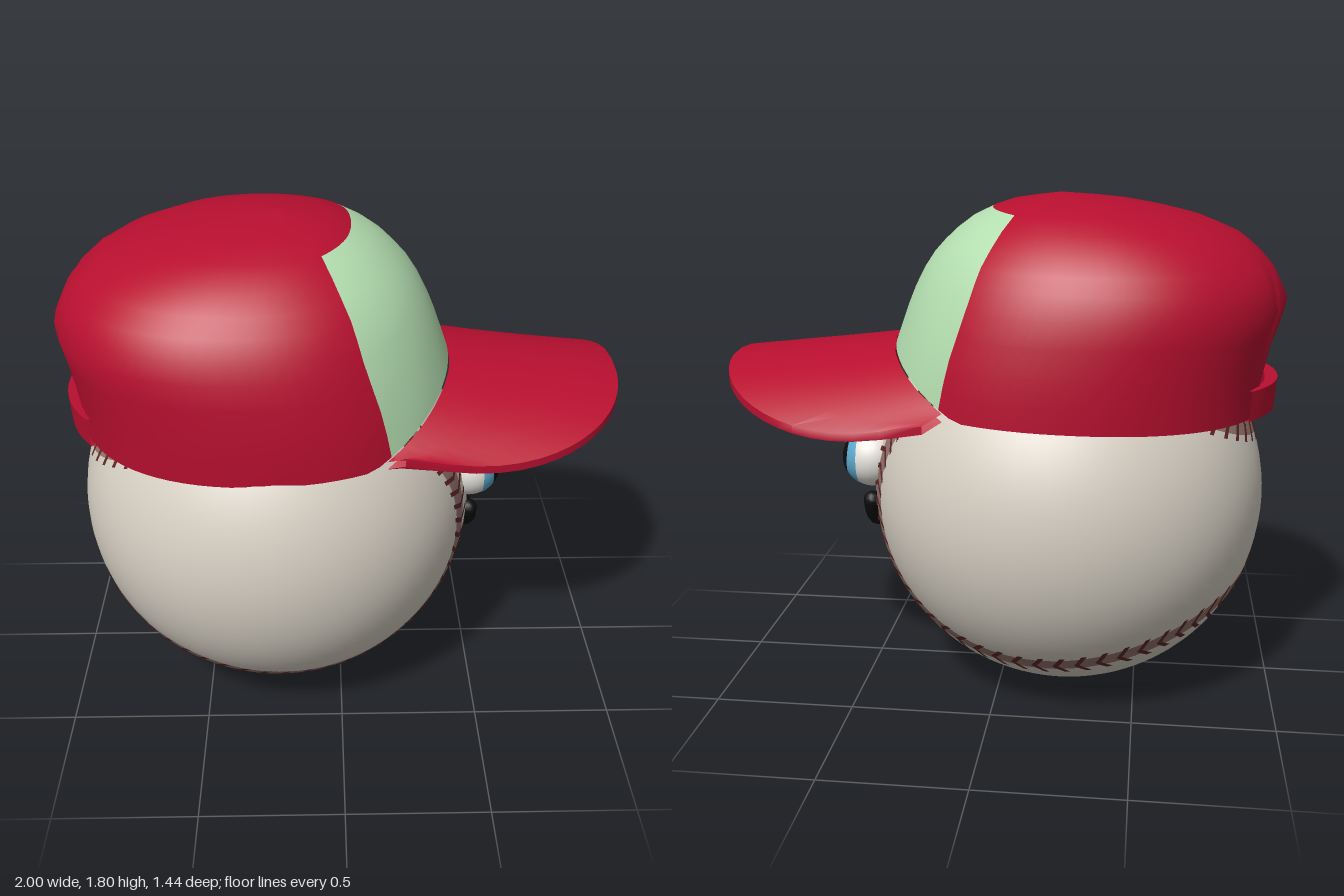
import * as THREE from 'three';
import { mergeGeometries, toCreasedNormals } from 'three/addons/utils/BufferGeometryUtils.js';

const V = (x, y, z) => new THREE.Vector3(x, y, z);
const RAD = Math.PI / 180;
const paint = (name, color, double) => {
  const m = new THREE.MeshStandardMaterial({ color });
  m.name = name;
  if (double) m.side = THREE.DoubleSide;
  return m;
};

// Surface from fn(i, j); the front faces along (i direction) x (j direction)
function grid(nI, nJ, fn, wrapJ = false, isSecond = null) {
  const pos = [], first = [], second = [], cols = wrapJ ? nJ : nJ + 1;
  for (let i = 0; i <= nI; i++)
    for (let j = 0; j < cols; j++) pos.push(...fn(i, j).toArray());
  for (let i = 0; i < nI; i++)
    for (let j = 0; j < nJ; j++) {
      const k = (j + 1) % cols;
      const a = i * cols + j, b = a + cols, c = i * cols + k, d = c + cols;
      (isSecond && isSecond(i, j) ? second : first).push(a, b, c, b, d, c);
    }
  const g = new THREE.BufferGeometry();
  g.setAttribute('position', new THREE.Float32BufferAttribute(pos, 3));
  g.setIndex([...first, ...second]);
  if (isSecond) {
    g.addGroup(0, first.length, 0);
    g.addGroup(first.length, second.length, 1);
  }
  g.computeVertexNormals();
  return g;
}

// Crown outline by height: y, front x, back x, half width
const CROWN = [
  [1.0, 0.45, -0.92, 0.63], [1.16, 0.42, -0.93, 0.637], [1.28, 0.39, -0.955, 0.637],
  [1.45, 0.33, -1.0, 0.62], [1.57, 0.27, -0.94, 0.565], [1.66, 0.19, -0.84, 0.49],
  [1.72, 0.11, -0.7, 0.4], [1.75, 0.05, -0.58, 0.33], [1.78, -0.04, -0.42, 0.19], [1.8, -0.2, -0.2, 0],
];
function crownPoint(phi, y, out = 0) {
  let k = 0;
  while (k < CROWN.length - 2 && y > CROWN[k + 1][0]) k++;
  const A = CROWN[k], B = CROWN[k + 1];
  const t = Math.min(1, (y - A[0]) / (B[0] - A[0]));
  const [, f, b, h] = A.map((v, n) => v + (B[n] - v) * t);
  const pw = (v) => Math.sign(v) * Math.abs(v) ** 0.93;
  return V((f + b) / 2 + ((f - b) / 2 + out) * pw(Math.cos(phi)), y,
    -0.015 + (h + out) * pw(Math.sin(phi)));
}
// Lower edge of the crown: raised over the brim, arched over the strap
function rimY(phi) {
  const deg = Math.abs(phi) / RAD, back = (180 - deg) / 22;
  if (deg < 60) return 1.09 + 0.19 * Math.cos(1.5 * phi);
  if (back < 1) return 1.13 + 0.27 * Math.sqrt(1 - back * back);
  return 1.075 + 0.02 * Math.cos(phi);
}

// Seam curve on the ball, with a local frame for band and stitches
const BALL = V(-0.232, 0.718, 0), R = 0.718;
function seamDir(t) {
  const a = 0.69, b = 0.31;
  return V(2 * Math.sqrt(a * b) * Math.cos(2 * t),
    a * Math.sin(t) + b * Math.sin(3 * t), a * Math.cos(t) - b * Math.cos(3 * t));
}
function seamPoint(t, along, side, lift) {
  const p = seamDir(t);
  const tan = seamDir(t + 0.001).sub(seamDir(t - 0.001)).normalize();
  const s = p.clone().cross(tan);
  return p.addScaledVector(tan, along / R).addScaledVector(s, side / R)
    .normalize().multiplyScalar(R + lift).add(BALL);
}

export function createModel() {
  const red = paint('cap red', 0xb80f2f, true);
  const green = paint('panel green', 0xb4deb0, true);
  const leather = paint('ball leather', 0xd6cfc3);
  const band = paint('seam brown', 0x93736b, true);
  const thread = paint('thread dark red', 0x5f2727, true);
  const white = paint('eye white', 0xe6e3dc);
  const blue = paint('iris blue', 0x5ba8cc);
  const black = paint('black', 0x0d0d0d);

  const model = new THREE.Group();
  const add = (name, geo, mat, parent = model) => {
    const m = new THREE.Mesh(geo, mat);
    m.name = name;
    parent.add(m);
    return m;
  };

  // Ball
  add('ball', new THREE.SphereGeometry(R, 64, 48), leather).position.copy(BALL);

  // Seam band and V stitches
  const TAU = Math.PI * 2;
  add('seamBand', grid(240, 2, (i, j) => seamPoint(i / 240 * TAU, 0, (j - 1) * 0.038, 0.002)), band);
  const strokes = [];
  for (let n = 0; n < 112; n++)
    for (const side of [-1, 1])
      strokes.push(grid(1, 2, (i, j) => {
        const reach = side > 0 ? j / 2 : 1 - j / 2;
        return seamPoint(n / 112 * TAU, (i - 0.5) * 0.02 + reach * 0.035, side * reach * 0.062, 0.006);
      }));
  add('stitches', mergeGeometries(strokes), thread);

  // Cap
  const cap = new THREE.Group();
  cap.name = 'cap';
  model.add(cap);
  const T = [0, 0.12, 0.25, 0.38, 0.5, 0.6, 0.68, 0.76, 0.84, 0.91, 0.955, 0.98, 1];
  const phiAt = (j) => (j * 4.5 - 180) * RAD;
  const crown = grid(T.length - 1, 80, (i, j) => {
    const r = rimY(phiAt(j));
    return crownPoint(phiAt(j), r + T[i] * (1.8 - r));
  }, true, (i, j) => i < 9 && j >= 28 && j < 52);
  add('crown', crown, [red, green], cap);

  // Brim: a curved sheet with thickness, running from crown edge to outer edge
  const rows = [[0, 0], [0.33, 0], [0.67, 0], [1, 0], [1, -0.028], [0.5, -0.028], [0, -0.028]];
  const brim = grid(rows.length - 1, 32, (i, j) => {
    const s = 1 - j / 16, [r, drop] = rows[i];
    const phi = s * 56 * RAD, a = s * Math.PI / 2;
    const inner = crownPoint(phi, rimY(phi), 0.005);
    const w = Math.sign(s) * Math.abs(Math.sin(a)) ** 0.74;
    const outer = V(0.21 + 0.79 * Math.max(0, Math.cos(a)) ** 0.74,
      1.215 - (s > 0 ? 0.15 : 0.2) * w * w + 0.06 * s ** 8, -0.03 + 0.56 * w);
    const p = inner.lerp(outer, r);
    p.y += drop;
    return p;
  });
  add('brim', toCreasedNormals(brim, 0.9), red, cap);

  // Strap closing the opening at the back
  const loop = [[1.06, 0], [1.06, 1], [1.165, 1], [1.165, 0], [1.06, 0]];
  const strap = grid(4, 16, (i, j) => {
    const d = j / 8 - 1, [y, o] = loop[i];
    return crownPoint((180 + d * 28) * RAD, y, 0.005 + o * (0.01 + 0.035 * Math.cos(d * 1.5)));
  });
  add('strap', toCreasedNormals(strap, 0.6), red, cap);

  // Face
  const face = new THREE.Group();
  face.name = 'face';
  model.add(face);
  const dome = (r, half) => new THREE.SphereGeometry(r, 32, 16, 0, TAU, 0, half).rotateZ(-Math.PI / 2);
  const arc = (name, r, tube, from, to, y, z, x) => {
    const pts = [];
    for (let k = 0; k <= 16; k++) {
      const a = (from + (to - from) * k / 16) * RAD;
      pts.push(V(x, y + r * Math.sin(a), z + r * Math.cos(a)));
    }
    add(name, new THREE.TubeGeometry(new THREE.CatmullRomCurve3(pts), 32, tube, 12), black, face);
    for (const p of [pts[0], pts[16]])
      add(name + 'End', new THREE.SphereGeometry(tube, 12, 8), black, face).position.copy(p);
  };
  for (const [side, z, y] of [['left', 0.105, 0.85], ['right', -0.143, 0.84]]) {
    const eye = new THREE.Group();
    eye.name = side + 'Eye';
    eye.position.set(0.478, y, z);
    face.add(eye);
    add('eyeball', new THREE.SphereGeometry(0.11, 32, 24), white, eye);
    add('iris', dome(0.112, 1.15), blue, eye);
    const pupil = add('pupil', dome(0.114, 0.74), black, eye);
    pupil.rotation.z = 0.06;
    const glint = add('glint', dome(0.116, 0.29), white, eye);
    glint.rotation.set(0, -0.18, 0.5);
    arc(side + 'Brow', 0.09, 0.021, 10, 170, y + 0.095, z, 0.475);
  }
  arc('smile', 0.155, 0.034, 200, 340, 0.73, -0.02, 0.482);

  return model;
}
